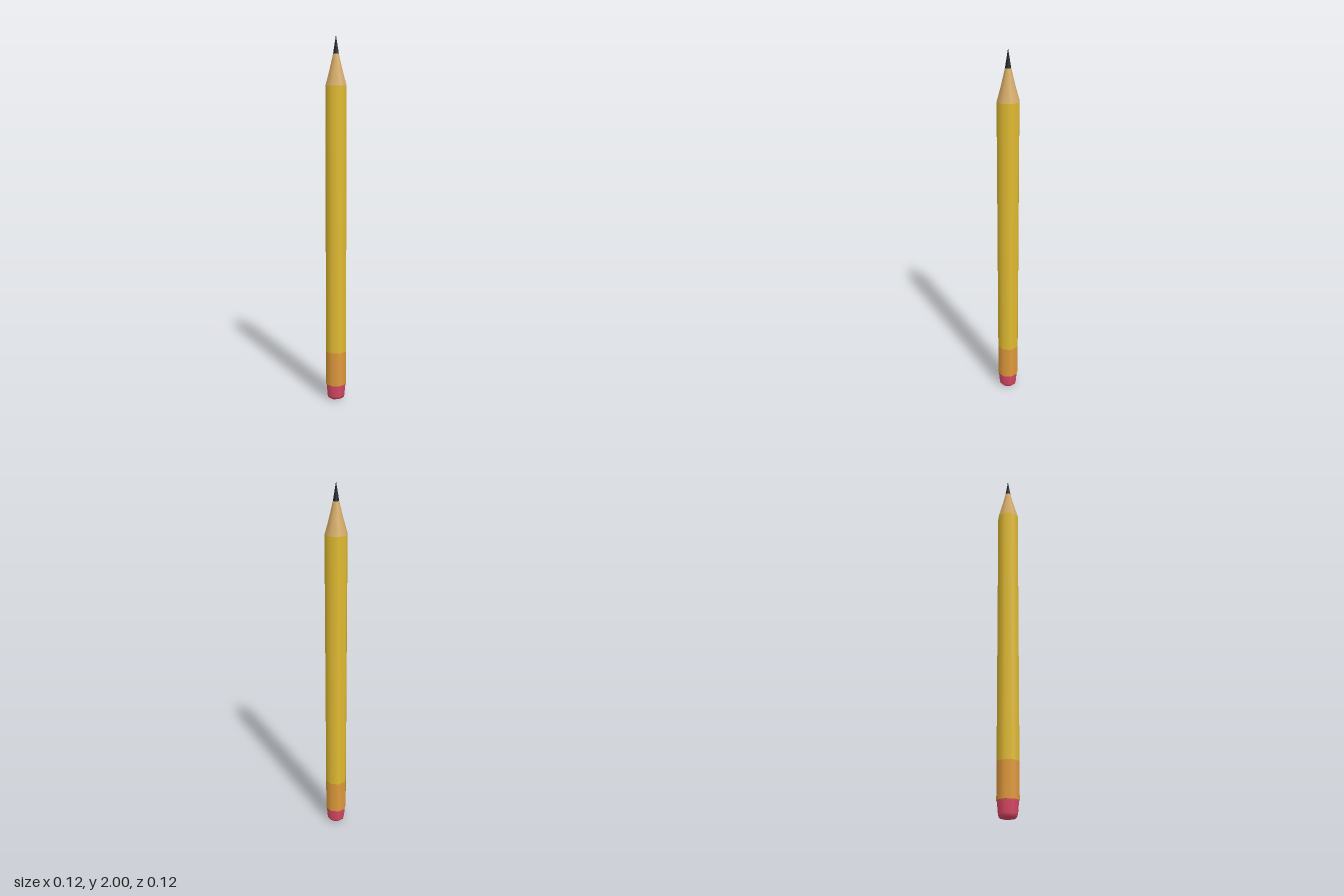
import * as THREE from 'three';

const SIDES = 8;

export function createModel() {
  const group = new THREE.Group();
  group.name = 'pencil';

  const material = (name, hex) => {
    const m = new THREE.MeshStandardMaterial({ color: hex });
    m.name = name;
    return m;
  };

  // Each part is an eight-sided turned section: [radius, height] from bottom to top
  const addPart = (name, mat, profile) => {
    const points = profile.map(([r, y]) => new THREE.Vector2(r, y));
    const mesh = new THREE.Mesh(new THREE.LatheGeometry(points, SIDES), mat);
    mesh.name = name;
    group.add(mesh);
  };

  // Rounded eraser, tucked slightly inside the band
  addPart('eraser', material('eraser pink', 0xdc4a66), [
    [0, 0], [0.038, 0.002], [0.047, 0.009], [0.051, 0.022], [0.057, 0.088],
  ]);

  // Band holding the eraser, with a small lip
  addPart('ferrule', material('band orange', 0xe09a3c), [[0.06, 0.088], [0.06, 0.28]]);
  addPart('ferruleLip', group.children[1].material, [[0.05, 0.088], [0.06, 0.088]]);

  // Painted shaft
  addPart('shaft', material('paint yellow', 0xe2bc32), [[0.06, 0.28], [0.06, 1.74]]);

  // Sharpened wood, slightly hollow in outline
  addPart('sharpenedWood', material('bare wood', 0xd6ac68), [
    [0.06, 1.74], [0.037, 1.82], [0.016, 1.905],
  ]);

  // Lead point
  addPart('leadTip', material('lead black', 0x202226), [[0.016, 1.905], [0, 2]]);

  return group;
}
